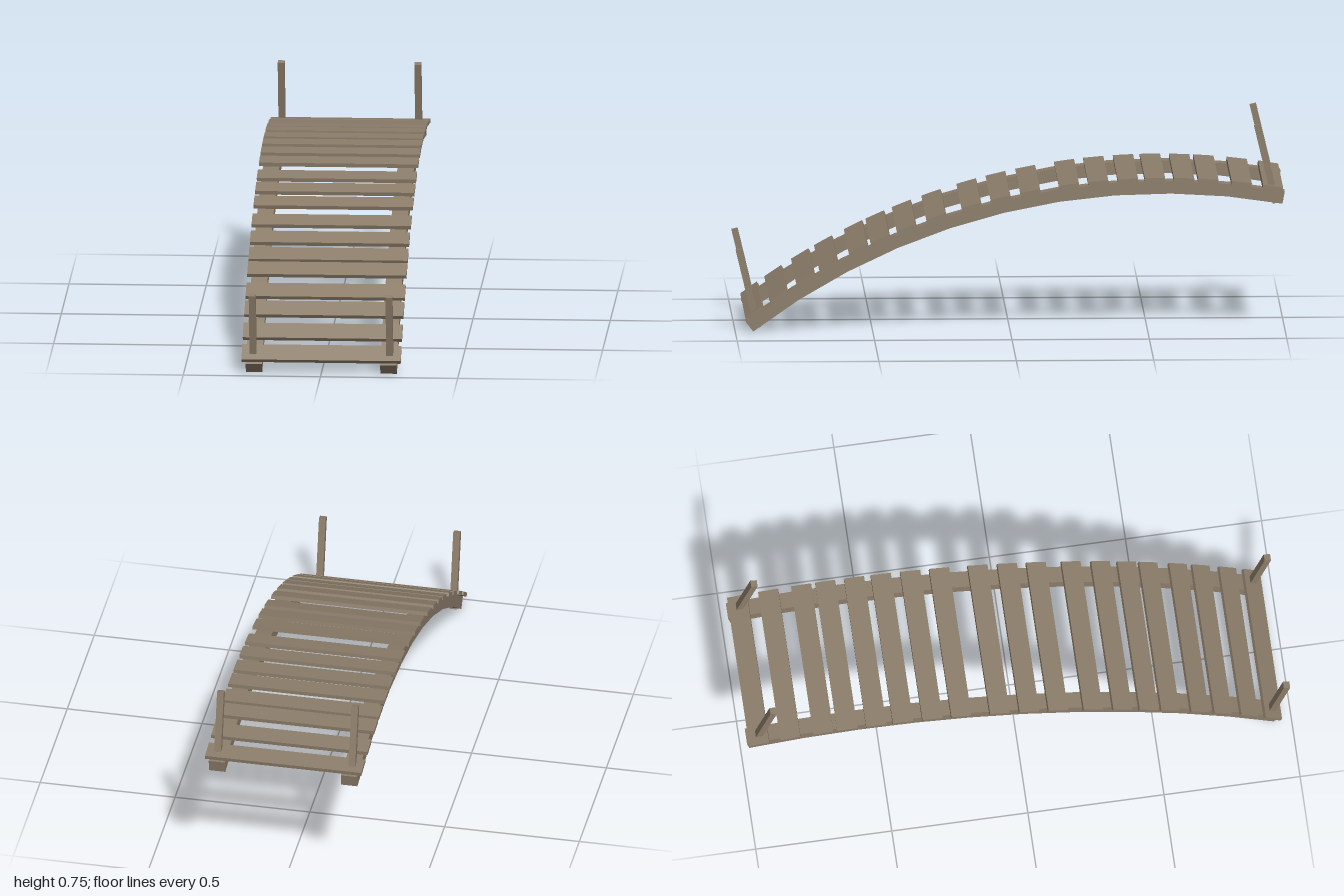
import * as THREE from 'three';

const wood = new THREE.MeshStandardMaterial({ color: 0x8c7d6a });
wood.name = 'weathered wood';

// The deck follows a circular arc in the z-y plane, tilted toward the front
const CENTRE = { z: -0.5526, y: -1.96 };
const RAIL_TOP = 2.506, RAIL_BOTTOM = 2.46;
const PHI_BACK = -0.1795, PHI_FRONT = 0.6493;
const TILT = (PHI_BACK + PHI_FRONT) / 2;
const SEGMENTS = 10;

const arcPoint = (phi, r) =>
  new THREE.Vector2(CENTRE.z + r * Math.sin(phi), CENTRE.y + r * Math.cos(phi));

// Curved beam: faceted arc outline extruded across x
function railGeometry(width) {
  const top = [], bottom = [];
  for (let i = 0; i <= SEGMENTS; i++) {
    const phi = THREE.MathUtils.lerp(PHI_BACK, PHI_FRONT, i / SEGMENTS);
    top.push(arcPoint(phi, RAIL_TOP));
    bottom.push(arcPoint(phi, RAIL_BOTTOM));
  }
  const shape = new THREE.Shape([...bottom, ...top.reverse()]);
  const geo = new THREE.ExtrudeGeometry(shape, { depth: width, bevelEnabled: false });
  geo.rotateY(-Math.PI / 2);
  geo.translate(width / 2, 0, 0);
  return geo;
}

export function createModel() {
  const bridge = new THREE.Group();
  bridge.name = 'archedBridge';

  const add = (name, geometry, x, y, z, tilt = 0) => {
    const mesh = new THREE.Mesh(geometry, wood);
    mesh.name = name;
    mesh.position.set(x, y, z);
    mesh.rotation.x = tilt;
    bridge.add(mesh);
  };

  // Side rails
  const rail = railGeometry(0.06);
  add('leftRail', rail, 0.245, 0, 0);
  add('rightRail', rail, -0.245, 0, 0);

  // Unevenly spaced deck planks, each tangent to the arc
  const plank = new THREE.BoxGeometry(0.58, 0.014, 0.074);
  const plankZ = [0.93, 0.842, 0.744, 0.66, 0.551, 0.472, 0.376, 0.268, 0.14, 0.034,
    -0.074, -0.215, -0.321, -0.429, -0.527, -0.633, -0.721, -0.842, -0.956];
  const plankRadius = RAIL_TOP + 0.007;
  plankZ.forEach((z, i) => {
    const phi = Math.asin((z - CENTRE.z) / plankRadius);
    add(`plank${i + 1}`, plank, 0, arcPoint(phi, plankRadius).y, z, phi);
  });

  // Corner posts, square to the chord of the arch
  const length = 0.295;
  const post = new THREE.BoxGeometry(0.025, length, 0.024);
  post.translate(0, -length / 2, 0);
  for (const [side, x] of [['Left', 0.249], ['Right', -0.249]]) {
    add(`front${side}Post`, post, x, 0.298, 0.986, TILT);
    add(`back${side}Post`, post, x, 0.748, -0.9, TILT);
  }
  return bridge;
}
